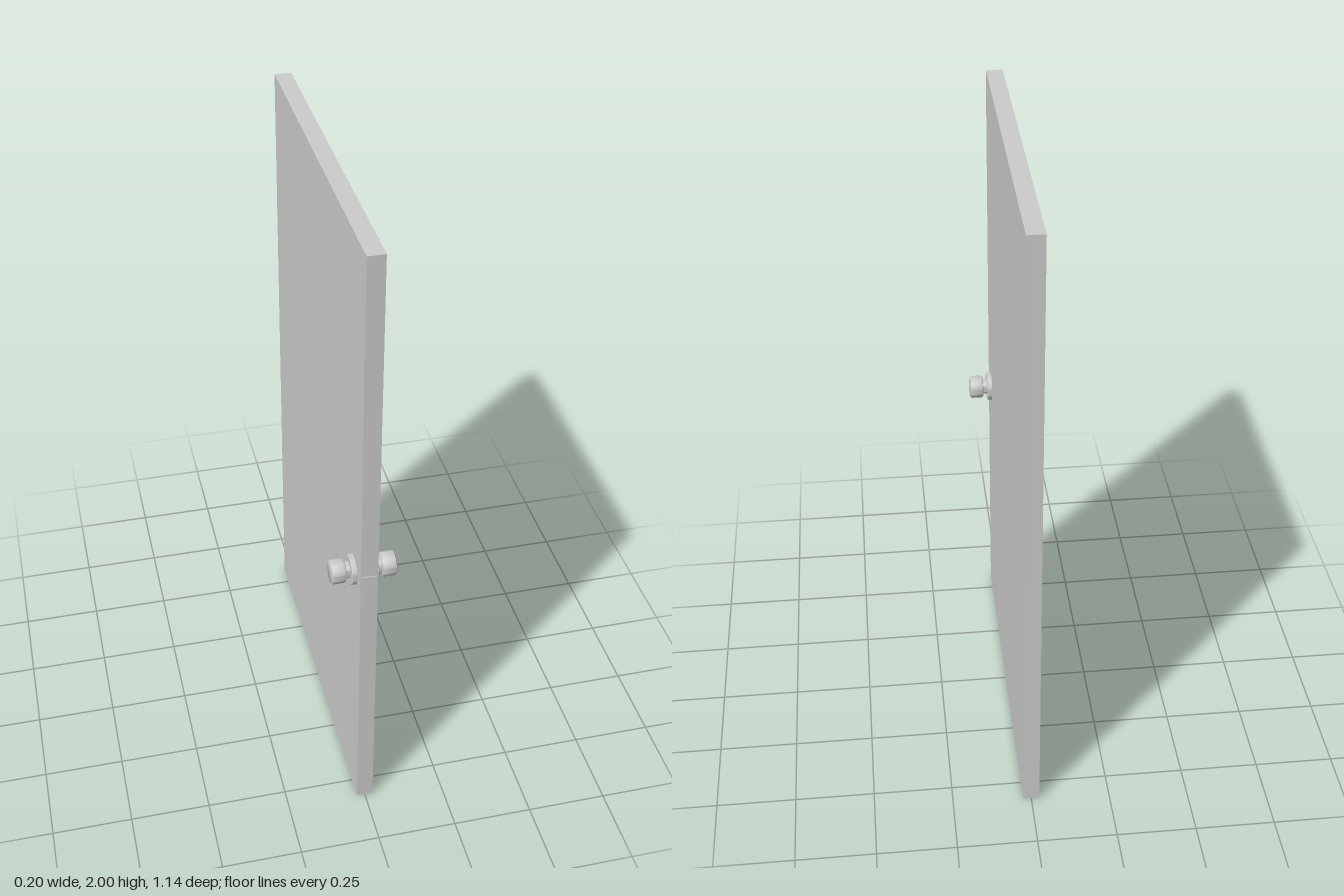
import * as THREE from 'three';
import { toCreasedNormals } from 'three/addons/utils/BufferGeometryUtils.js';

export function createModel() {
  const model = new THREE.Group();
  model.name = 'door';
  const material = new THREE.MeshStandardMaterial({ color: 0xcccccc });

  const add = (name, geometry, x, y, z, parent = model) => {
    const mesh = new THREE.Mesh(geometry, material);
    mesh.name = name;
    mesh.position.set(x, y, z);
    parent.add(mesh);
    return mesh;
  };

  // Slab, with a thin latch plate on its front edge
  const halfThick = 0.026, handleY = 0.903, handleZ = 0.483;
  add('doorPanel', new THREE.BoxGeometry(halfThick * 2, 2, 1.137), 0, 1, -0.0015);
  add('latchPlate', new THREE.BoxGeometry(0.044, 0.07, 0.006), 0, handleY, 0.567);

  // Turned parts: [radius, distance from the door's middle]
  const turn = (profile) => toCreasedNormals(
    new THREE.LatheGeometry(profile.map(([r, h]) => new THREE.Vector2(r, h)), 32),
    Math.PI / 5
  );
  const rose = turn([[0, 0.02], [0.047, 0.02], [0.047, 0.039], [0.045, 0.041], [0, 0.041]]);
  const neck = turn([[0.025, 0.04], [0.025, 0.058]]);
  const knob = turn([
    [0, 0.055], [0.032, 0.055], [0.0355, 0.0565], [0.0375, 0.061],
    [0.0375, 0.092], [0.0365, 0.096], [0.033, 0.0985], [0, 0.0985],
  ]);

  // One handle on each face
  for (const [name, side] of [['leftHandle', 1], ['rightHandle', -1]]) {
    const handle = new THREE.Group();
    handle.name = name;
    handle.position.set(0, handleY, handleZ);
    handle.rotation.z = -side * Math.PI / 2;
    add('rose', rose, 0, 0, 0, handle);
    add('neck', neck, 0, 0, 0, handle);
    add('knob', knob, 0, 0, 0, handle);
    model.add(handle);
  }
  return model;
}
